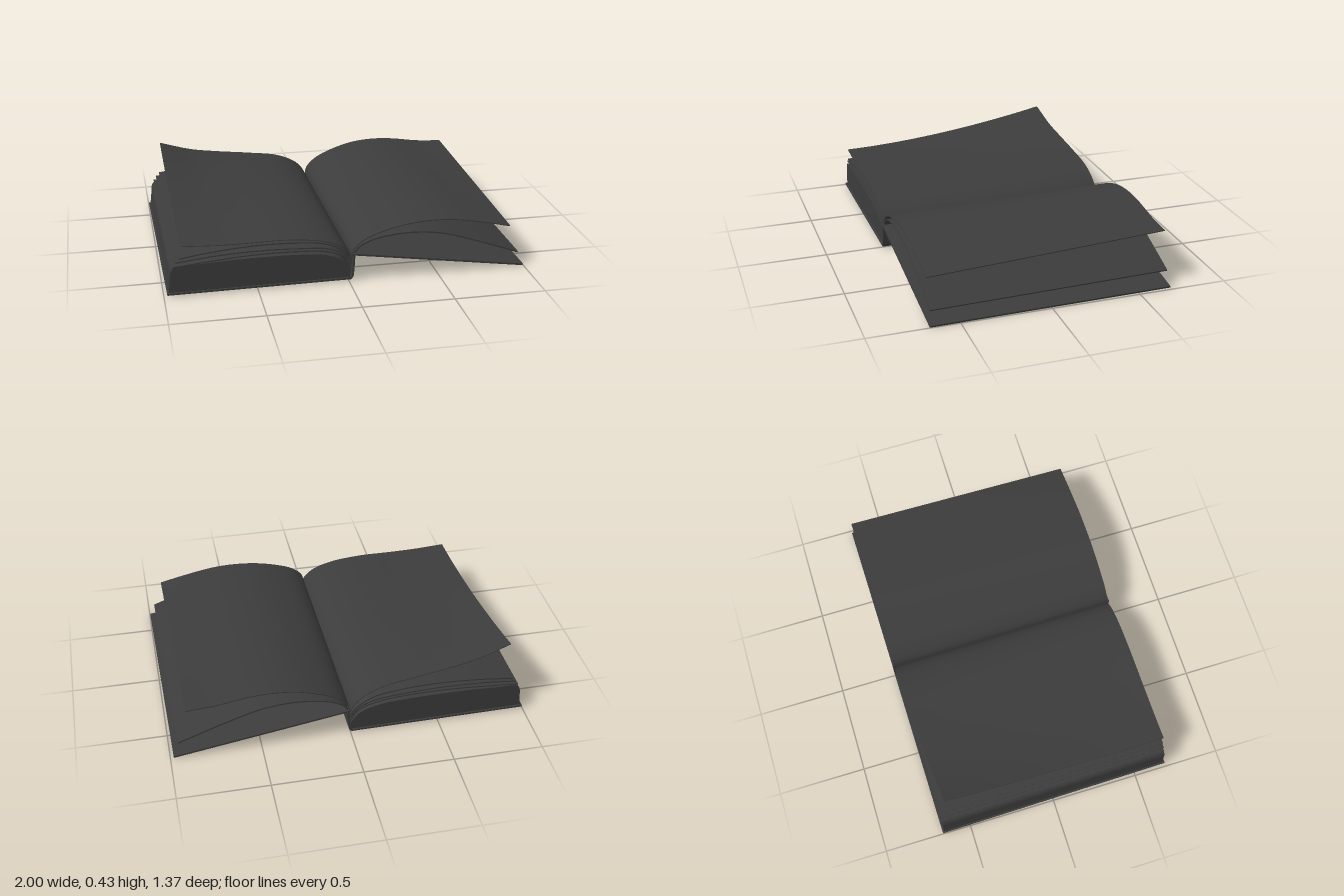
import * as THREE from 'three';

const material = new THREE.MeshStandardMaterial({ color: 0x3c3c3c, side: THREE.DoubleSide });

const spline = (pts) =>
  new THREE.CatmullRomCurve3(pts.map(([x, y]) => new THREE.Vector3(x, y, 0)), false, 'centripetal');

// Box whose vertices are moved by place(u, v, isTop): u runs left to right, v back to front
function shapedBox(name, nx, nz, place) {
  const geo = new THREE.BoxGeometry(1, 1, 1, nx, 1, nz);
  const pos = geo.attributes.position;
  for (let i = 0; i < pos.count; i++) {
    const p = place(pos.getX(i) + 0.5, pos.getZ(i) + 0.5, pos.getY(i) > 0);
    pos.setXYZ(i, p.x, p.y, p.z);
  }
  geo.computeVertexNormals();
  const mesh = new THREE.Mesh(geo, material);
  mesh.name = name;
  return mesh;
}

// Thin curved sheet lofted from a back profile to a front profile
function sheet(name, back, front, { thick = 0.004, half = 0.665, bend = 1, tuck = 0, nx = 40, nz = 16 } = {}) {
  const a = spline(back), b = spline(front);
  return shapedBox(name, nx, nz, (u, v, top) => {
    const w = Math.pow(1 - v, bend);
    const p = b.getPoint(u).lerp(a.getPoint(u), w);
    if (!top) {
      const t = b.getTangent(u).lerp(a.getTangent(u), w).normalize();
      p.x += t.y * thick;
      p.y -= t.x * thick;
    }
    // a lifted outer corner draws the back edge inwards
    p.z = (v * 2 - 1) * half + tuck * w * Math.pow(1 - u, 2.5);
    return p;
  });
}

// Same profile lowered a little towards its outer end
const lowered = (pts, drop) => pts.map(([x, y]) => [x, y - drop * Math.min(1, Math.abs(x) * 3)]);

export function createModel() {
  const book = new THREE.Group();
  book.name = 'openBook';

  // Covers and rounded spine
  const board = { thick: 0.01, half: 0.675, nx: 8, nz: 2 };
  book.add(sheet('leftCover', [[-0.99, 0.02], [0.005, 0.02]], [[-0.99, 0.02], [0.005, 0.02]], board));
  const spinePts = [[-0.005, 0.02], [0.006, 0.028], [0.011, 0.06], [0.014, 0.11], [0.017, 0.155]];
  book.add(sheet('spine', spinePts, spinePts, { ...board, nx: 16 }));
  const rightPts = [[0.015, 0.16], [0.99, 0.011]];
  book.add(sheet('rightCover', rightPts, rightPts, board));

  // Thick page block with a rounded top
  const blockTop = spline([[-0.975, 0.07], [-0.967, 0.14], [-0.95, 0.162], [-0.85, 0.17], [-0.6, 0.18],
    [-0.3, 0.178], [-0.15, 0.165], [-0.05, 0.13], [0.004, 0.07]]);
  book.add(shapedBox('pageBlock', 48, 4, (u, v, top) => {
    const p = top ? blockTop.getPoint(u) : new THREE.Vector3(-0.982 + 0.985 * u, 0.02, 0);
    p.z = (v * 2 - 1) * 0.665;
    return p;
  }));

  // Loose leaves on the left, from low to high
  const leftLeaves = [
    [[-0.955, 0.175], [-0.8, 0.19], [-0.55, 0.208], [-0.3, 0.207], [-0.13, 0.188], [-0.03, 0.145], [0.01, 0.08]],
    [[-0.94, 0.2], [-0.75, 0.22], [-0.5, 0.23], [-0.28, 0.222], [-0.12, 0.203], [-0.025, 0.155], [0.012, 0.1]],
    [[-0.92, 0.222], [-0.75, 0.245], [-0.5, 0.262], [-0.28, 0.255], [-0.12, 0.228], [-0.025, 0.17], [0.014, 0.12]],
  ];
  leftLeaves.forEach((pts, i) =>
    book.add(sheet('leftLeaf' + (i + 1), pts, lowered(pts, 0.008), { thick: 0.007 })));

  // Top left page with its back corner lifted
  book.add(sheet('leftTopPage',
    [[-0.905, 0.43], [-0.72, 0.372], [-0.55, 0.342], [-0.35, 0.315], [-0.17, 0.285], [-0.06, 0.235], [-0.01, 0.185], [0.012, 0.14]],
    [[-0.905, 0.282], [-0.72, 0.272], [-0.55, 0.27], [-0.35, 0.27], [-0.17, 0.25], [-0.06, 0.212], [-0.01, 0.172], [0.012, 0.14]],
    { bend: 1.75, tuck: 0.045, nz: 24 }));

  // Right lower leaf, arching down to the cover
  const arch = [[0.012, 0.14], [0.04, 0.19], [0.12, 0.235], [0.25, 0.262], [0.38, 0.267], [0.52, 0.248],
    [0.7, 0.192], [0.85, 0.138], [0.96, 0.097]];
  book.add(sheet('rightLowerLeaf', arch, lowered(arch, 0.012), { thick: 0.008 }));

  // Right top page
  book.add(sheet('rightTopPage',
    [[0.008, 0.14], [0.02, 0.19], [0.08, 0.25], [0.2, 0.305], [0.32, 0.338], [0.45, 0.35], [0.58, 0.343], [0.75, 0.318], [0.905, 0.308]],
    [[0.008, 0.14], [0.02, 0.182], [0.08, 0.235], [0.2, 0.28], [0.32, 0.306], [0.45, 0.316], [0.58, 0.31], [0.75, 0.28], [0.905, 0.245]],
    { thick: 0.005 }));

  // The book lies slightly turned
  book.rotation.y = 0.012;
  const model = new THREE.Group();
  model.name = 'book';
  model.add(book);
  return model;
}
